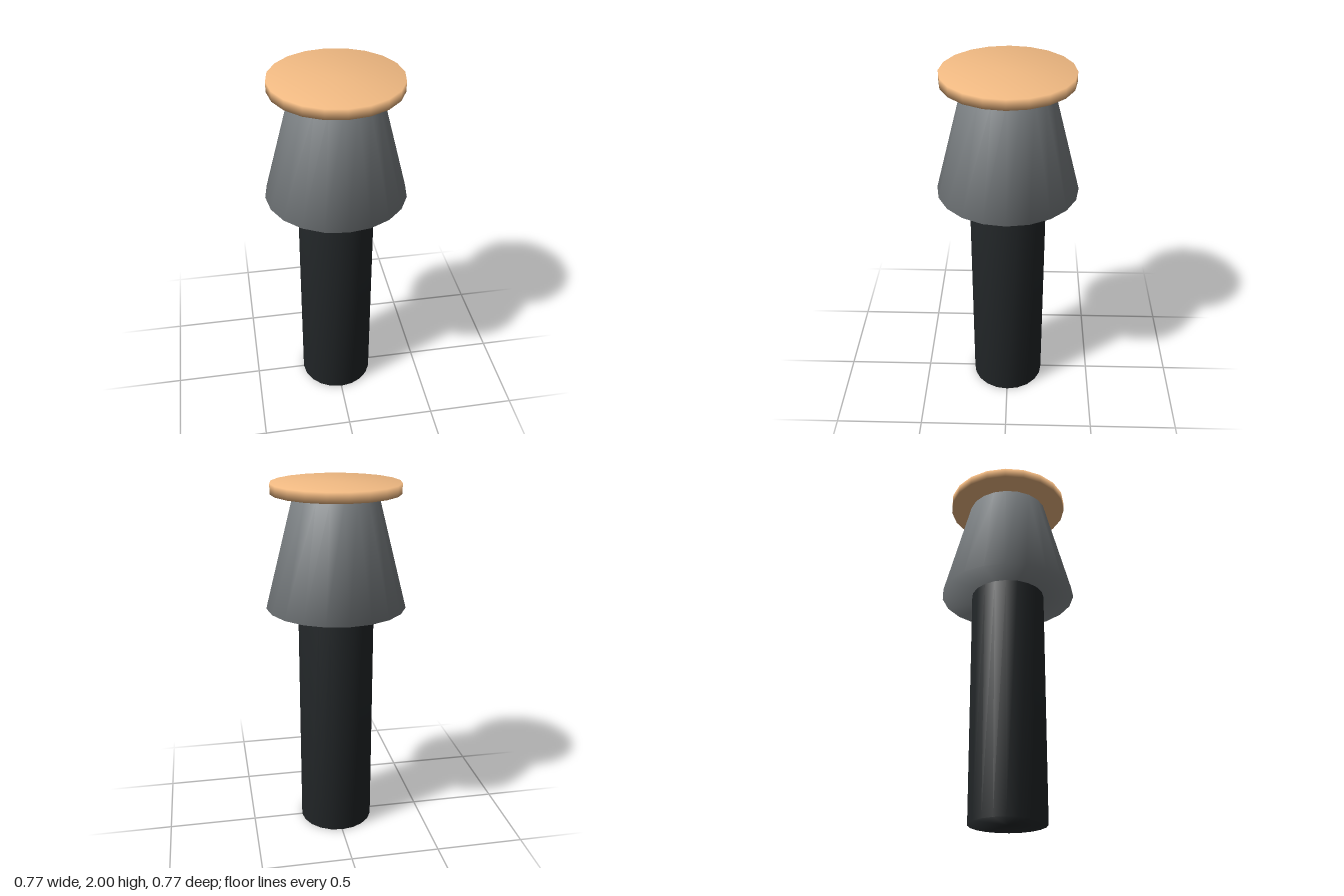
import * as THREE from 'three';
import { mergeVertices } from 'three/addons/utils/BufferGeometryUtils.js';

const SIDES = 20;

// Closed round section from y0 to y1, with normals blended across the rims
function roundPart(name, rTop, rBottom, y0, y1, color) {
  let geometry = new THREE.CylinderGeometry(rTop, rBottom, y1 - y0, SIDES);
  geometry.deleteAttribute('normal');
  geometry.deleteAttribute('uv');
  geometry = mergeVertices(geometry, 1e-4);
  geometry.computeVertexNormals();
  const mesh = new THREE.Mesh(geometry, new THREE.MeshStandardMaterial({ color }));
  mesh.position.y = (y0 + y1) / 2;
  mesh.name = name;
  return mesh;
}

export function createModel() {
  const group = new THREE.Group();
  group.name = 'bollardLamp';
  group.add(
    roundPart('post', 0.21, 0.21, 0, 1.33, 0x222628),
    roundPart('taperedCollar', 0.23, 0.385, 1.33, 1.93, 0x7c8184),
    // The disc floats just above the collar
    roundPart('topDisc', 0.348, 0.348, 1.945, 2, 0xf4bc84),
  );
  return group;
}
